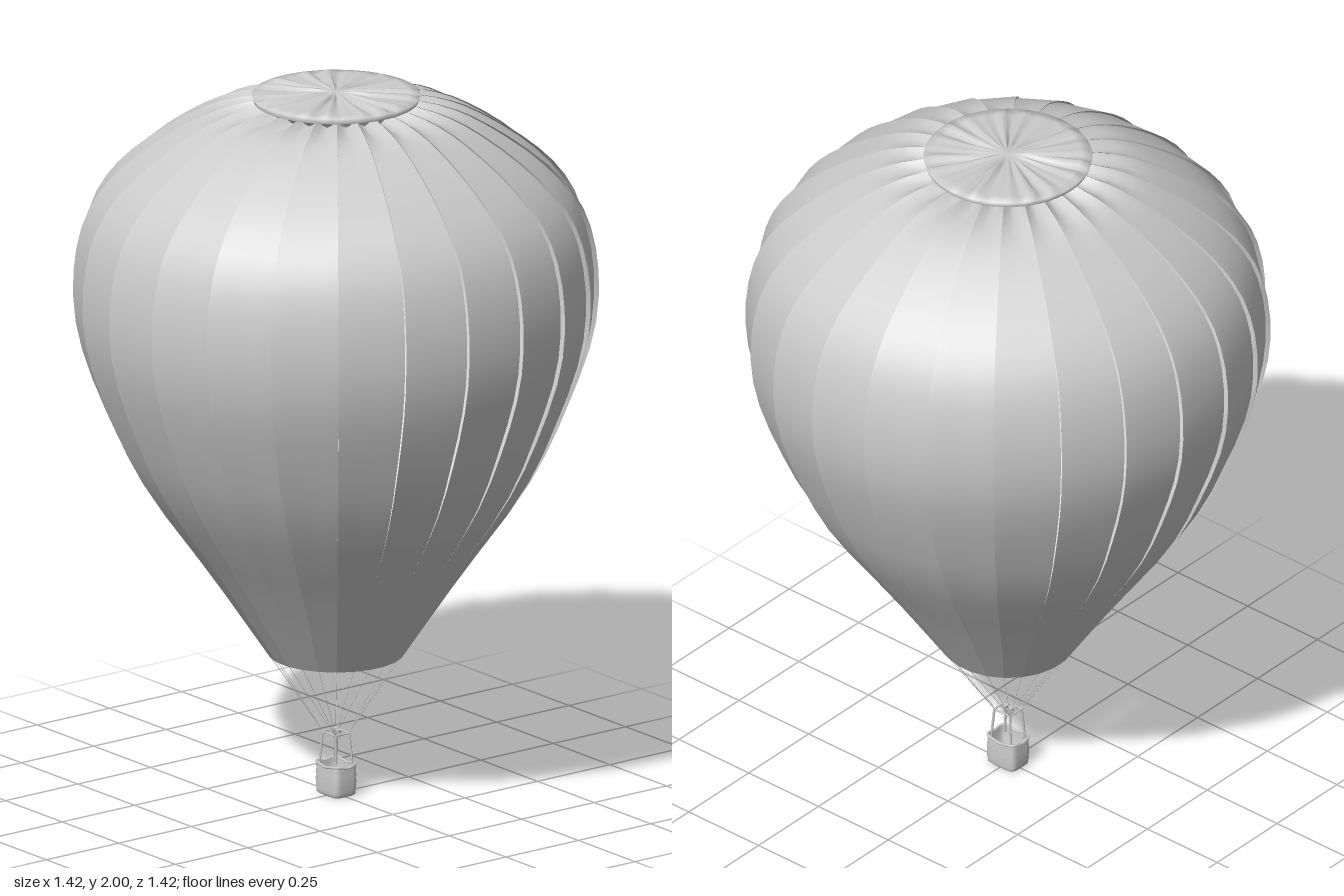
import * as THREE from 'three';
import { mergeVertices, mergeGeometries } from 'three/addons/utils/BufferGeometryUtils.js';

const GORES = 24;
const material = new THREE.MeshStandardMaterial({ color: 0xcccccc, side: THREE.DoubleSide });

// Surface through rows of points; point(i, j) gives the corner at row i, column j.
function loft(rows, cols, point) {
  const pos = [], index = [];
  for (let i = 0; i < rows; i++) for (let j = 0; j < cols; j++) pos.push(...point(i, j));
  for (let i = 0; i < rows - 1; i++) for (let j = 0; j < cols - 1; j++) {
    const a = i * cols + j, b = a + 1, c = b + cols, d = a + cols;
    index.push(a, b, c, a, c, d);
  }
  let g = new THREE.BufferGeometry();
  g.setAttribute('position', new THREE.Float32BufferAttribute(pos, 3));
  g.setIndex(index);
  g = mergeVertices(g, 1e-5);
  g.computeVertexNormals();
  return g;
}

// Round bar between two points.
function bar(from, to, radius, sides = 6) {
  const a = new THREE.Vector3(...from), b = new THREE.Vector3(...to);
  const dir = b.clone().sub(a);
  const g = new THREE.CylinderGeometry(radius, radius, dir.length(), sides);
  g.applyQuaternion(new THREE.Quaternion().setFromUnitVectors(new THREE.Vector3(0, 1, 0), dir.normalize()));
  return g.translate(...a.add(b).multiplyScalar(0.5).toArray());
}

function add(parent, name, geometry) {
  const mesh = new THREE.Mesh(geometry, material);
  mesh.name = name;
  parent.add(mesh);
  return mesh;
}

const clamp = THREE.MathUtils.clamp;

// Envelope: slightly overlapping gores following one profile
function envelope() {
  const profile = new THREE.SplineCurve([
    [0.185, 0.4], [0.35, 0.645], [0.53, 0.9], [0.63, 1.1], [0.7, 1.3], [0.715, 1.47], [0.69, 1.62],
    [0.63, 1.73], [0.53, 1.825], [0.4, 1.91], [0.3, 1.953], [0.2, 1.975],
  ].map(p => new THREE.Vector2(...p))).getPoints(26);
  const group = new THREE.Group();
  group.name = 'envelope';
  const step = Math.PI * 2 / GORES;
  for (let k = 0; k < GORES; k++) {
    const cols = 5;
    const gore = loft(profile.length, cols, (i, j) => {
      const { x: r, y } = profile[i], t = j / (cols - 1), a = (k - 0.5 + t) * step;
      const overlap = 0.018 * clamp((y - 0.8) / 0.3, 0, 1);   // one edge tucks under its neighbour
      const chord = Math.cos(step / 2) / Math.cos((t - 0.5) * step);
      const radius = r * chord * (1 - overlap * t);
      const fold = y > 1.9 ? clamp((0.38 - r) / 0.15, 0, 1) * 0.022 * Math.sin(Math.PI * t) : 0;
      return [radius * Math.sin(a), y - fold, radius * Math.cos(a)];
    });
    add(group, 'gore', gore);
  }
  return group;
}

// Crown cap: pleated disc with a short turned-down rim
function crownCap() {
  const rings = [[0.225, 1.972], [0.23, 1.988], [0.2, 1.991], [0.12, 1.991], [0.05, 1.994], [0, 1.996]];
  const n = GORES * 4;
  return loft(rings.length, n + 1, (i, j) => {
    const a = (j % n) / n * Math.PI * 2, [r, y] = rings[i];
    const pleat = i > 1 && r > 0 ? 0.004 * Math.cos(a * GORES) + 0.004 * Math.sin(a * 17) : 0;
    return [r * Math.sin(a), Math.min(2, y + pleat), r * Math.cos(a)];
  });
}

// Rounded rectangle outline point
function outline(a, hx, hz) {
  const s = Math.sin(a), c = Math.cos(a), e = 0.4;
  return [hx * Math.sign(s) * Math.abs(s) ** e, hz * Math.sign(c) * Math.abs(c) ** e];
}

function rimHeight(x, z) {
  return 0.082 + 0.008 * Math.min(1, Math.abs(x) / 0.05) * Math.min(1, Math.abs(z) / 0.038);
}

function basket() {
  const group = new THREE.Group();
  group.name = 'basket';
  const n = 40;
  // Hollow woven body: outside wall, rim, inside wall, floor
  const rings = [[0, 0], [0.85, 0], [0.95, 0.05]];
  for (let i = 1; i <= 8; i++) rings.push([0.96 + 0.05 * Math.sin(i / 9 * Math.PI) - (i % 2) * 0.025, i / 9]);
  rings.push([0.96, 1], [0.88, 1], [0.88, 0.08], [0, 0.08]);
  add(group, 'wickerBody', loft(rings.length, n + 1, (i, j) => {
    const [s, h] = rings[i];
    const [x, z] = outline((j % n) / n * Math.PI * 2, 0.052 * s, 0.04 * s);
    return [x, h * rimHeight(x, z), z];
  }));

  // Padded rim
  const rim = [];
  for (let j = 0; j < n; j++) {
    const [x, z] = outline(j / n * Math.PI * 2, 0.05, 0.038);
    rim.push(new THREE.Vector3(x, rimHeight(x, z), z));
  }
  add(group, 'paddedRim', new THREE.TubeGeometry(new THREE.CatmullRomCurve3(rim, true), 80, 0.004, 6, true));

  // Uprights and the burner frame they carry
  const posts = [], corners = [[1, 1], [1, -1], [-1, -1], [-1, 1]];
  corners.forEach(([sx, sz], k) => {
    const [nx, nz] = corners[(k + 1) % 4];
    posts.push(bar([sx * 0.036, 0.07, sz * 0.03], [sx * 0.028, 0.176, sz * 0.024], 0.0035));
    posts.push(bar([sx * 0.028, 0.174, sz * 0.024], [nx * 0.028, 0.174, nz * 0.024], 0.0025));
  });
  posts.push(bar([-0.028, 0.172, 0], [0.028, 0.172, 0], 0.0025));
  add(group, 'uprightsAndFrame', mergeGeometries(posts));

  // Twin burner
  for (const s of [-1, 1]) {
    const can = add(group, 'burner', new THREE.CylinderGeometry(0.008, 0.006, 0.022, 12));
    can.position.set(s * 0.01, 0.173, 0);
  }
  return group;
}

// Suspension lines fanning from the frame corners to the mouth
function suspensionLines() {
  const lines = [];
  for (let k = 0; k < GORES; k++) {
    const a = (k + 0.5) / GORES * Math.PI * 2, x = Math.sin(a), z = Math.cos(a);
    lines.push(bar([Math.sign(x) * 0.028, 0.175, Math.sign(z) * 0.024], [x * 0.184, 0.402, z * 0.184], 0.0006, 4));
  }
  return mergeGeometries(lines);
}

export function createModel() {
  const model = new THREE.Group();
  model.name = 'hotAirBalloon';
  model.add(envelope(), basket());
  add(model, 'crownCap', crownCap());
  add(model, 'suspensionLines', suspensionLines());
  return model;
}
